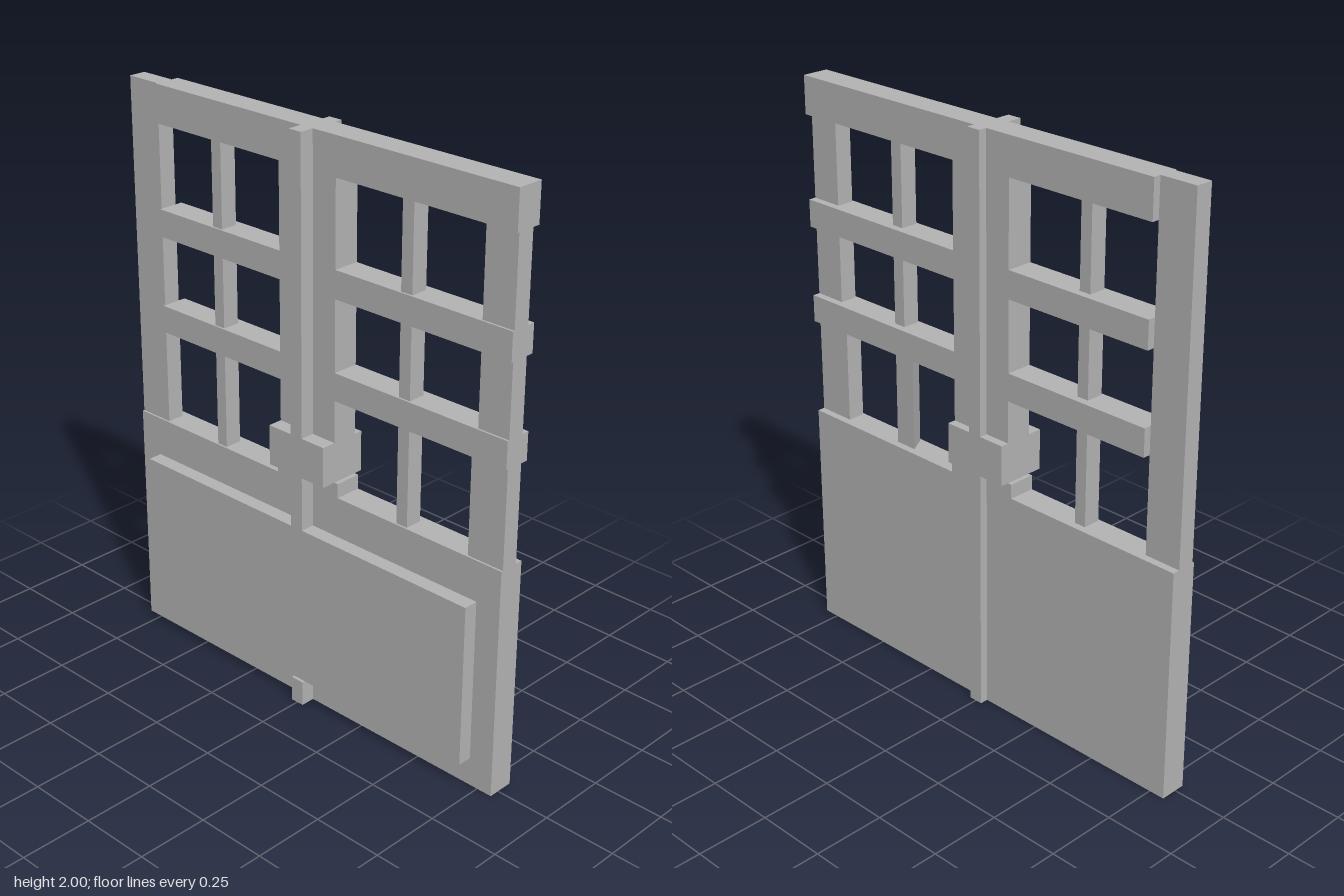
import * as THREE from 'three';

export function createModel() {
  const group = new THREE.Group();
  group.name = 'doubleDoor';
  const grey = new THREE.MeshStandardMaterial({ color: 0xb4b4b4 });
  grey.name = 'plainGrey';

  // Depth layers: door body, recessed bars, raised trim
  const BODY = [-0.058, 0.036], INNER = [-0.032, 0.029];
  const FRONT = [0.036, 0.087], BACK = [-0.087, -0.058];

  const box = (name, [x0, x1], [y0, y1], [z0, z1]) => {
    const mesh = new THREE.Mesh(new THREE.BoxGeometry(x1 - x0, y1 - y0, z1 - z0), grey);
    mesh.position.set((x0 + x1) / 2, (y0 + y1) / 2, (z0 + z1) / 2);
    mesh.name = name;
    group.add(mesh);
    return mesh;
  };

  // Solid lower half with a raised panel
  box('lowerDoor', [-0.806, 0.806], [0, 0.81], BODY);
  box('raisedPanel', [-0.72, 0.716], [0.1, 0.67], FRONT);

  // Centre stile and the small step at its foot
  box('centreStile', [-0.12, 0.12], [0.86, 2], BODY);
  box('centreStileFoot', [-0.135, 0.135], [0.81, 0.86], BODY);

  // Window rails
  for (const y of [[1.87, 2], [1.485, 1.58], [1.145, 1.24]]) {
    box('leftRail', [0.12, 0.806], y, BODY);
    box('rightRail', [-0.675, -0.12], y, BODY);
  }

  // Recessed outer stiles and glazing bars
  box('rightOuterStile', [-0.806, -0.675], [0.81, 2], INNER);
  const rows = [[1.58, 1.87], [1.24, 1.485], [0.81, 1.145]];
  rows.forEach((y, i) => {
    box('leftOuterStile', [i === 2 ? 0.67 : 0.69, 0.806], y, INNER);
    box('rightGlazingBar', [-0.428, -0.386], y, INNER);
    const bar = box('leftGlazingBar', [0.38, 0.424], y, INNER);
    if (i === 2) {
      // the lowest bar widens toward the back on its inner side
      const p = bar.geometry.attributes.position;
      for (let v = 0; v < p.count; v++) {
        if (p.getX(v) < 0 && p.getZ(v) < 0) p.setX(v, p.getX(v) - 0.037);
      }
      bar.geometry = bar.geometry.toNonIndexed();
      bar.geometry.computeVertexNormals();
    }
  });

  // Cover strips over the meeting line, and the lock block on both faces
  const strip = [-0.025, 0.025], lock = [-0.12, 0.12], lockY = [0.86, 1];
  for (const y of [[0, 0.09], [0.67, 0.86], [1, 2]]) box('frontCoverStrip', strip, y, FRONT);
  for (const y of [[0, 0.86], [1, 2]]) box('backCoverStrip', strip, y, BACK);
  box('frontLock', lock, lockY, FRONT);
  box('backLock', lock, lockY, BACK);

  return group;
}
